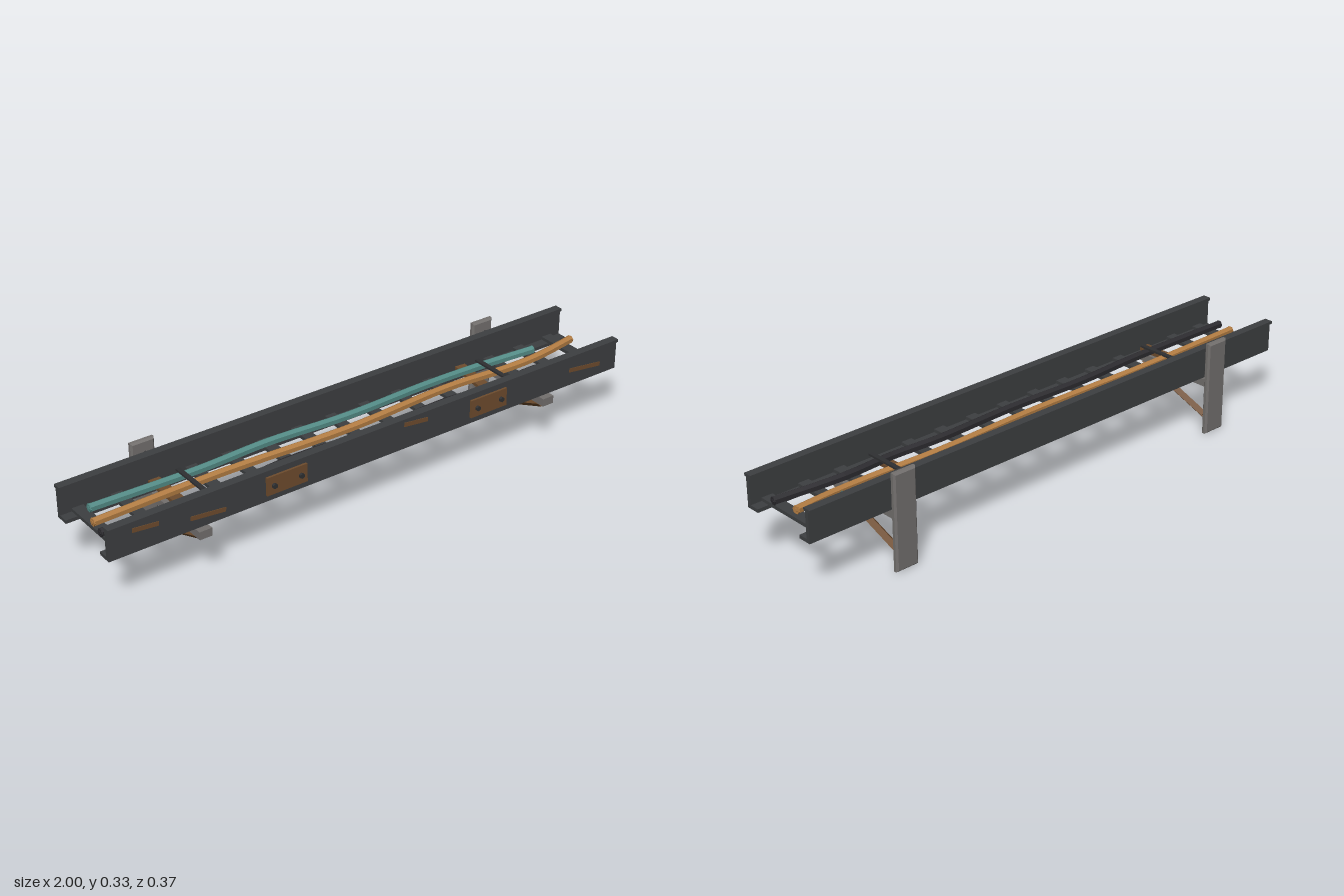
import * as THREE from 'three';

const mat = (name, color, extra = {}) =>
  Object.assign(new THREE.MeshStandardMaterial({ color, flatShading: true, ...extra }), { name });

export function createModel() {
  const model = new THREE.Group();
  model.name = 'cableTray';
  const dark = mat('darkSteel', 0x3d3f41);
  const grey = mat('greySteel', 0x73706e);
  const rust = mat('rust', 0x6e4c2d);
  const teal = mat('tealCable', 0x528a85);
  const copper = mat('copperCable', 0xb27c42);
  const black = mat('blackCable', 0x2c2b2f);
  const bolt = mat('boltSteel', 0x2f3032);

  const add = (name, geo, material, x, y, z, parent = model) => {
    const m = new THREE.Mesh(geo, material);
    m.name = name;
    m.position.set(x, y, z);
    parent.add(m);
    return m;
  };
  const box = (name, material, w, y0, y1, z0, z1, x = 0) =>
    add(name, new THREE.BoxGeometry(w, y1 - y0, z1 - z0), material, x, (y0 + y1) / 2, (z0 + z1) / 2);
  const boltHead = (name, r, depth, x, y, z) => {
    const g = new THREE.CylinderGeometry(r, r, depth, 6);
    g.rotateX(Math.PI / 2);
    return add(name, g, bolt, x, y, z);
  };

  // Side rails: web, top flange and inward bottom flange
  box('frontRailWeb', dark, 2, 0.19, 0.295, 0.149, 0.163);
  box('frontRailTop', dark, 2, 0.293, 0.303, 0.141, 0.171);
  box('frontRailFoot', dark, 2, 0.19, 0.202, 0.114, 0.163);
  box('backRailWeb', dark, 2, 0.19, 0.295, -0.139, -0.125);
  box('backRailTop', dark, 2, 0.293, 0.303, -0.148, -0.118);
  box('backRailFoot', dark, 2, 0.19, 0.202, -0.139, -0.091);

  // Rungs, two of them rusted and one knocked loose
  for (let i = 0; i < 15; i++) {
    const rung = box('rung', i === 2 || i === 11 ? rust : dark, 0.04, 0.201, 0.213,
      i === 11 ? -0.122 : -0.126, i === 11 ? 0.118 : 0.15, -0.94 + i * 0.1343);
    if (i === 11) rung.rotation.set(0.08, -0.07, 0);
  }

  // Wall brackets: bevelled post, arm, diagonal strut and bolts
  const plate = new THREE.Shape();
  const b = 0.006, hw = 0.0425 - b, hh = 0.1665 - b;
  plate.moveTo(-hw, -hh).lineTo(hw, -hh).lineTo(hw, hh).lineTo(-hw, hh).closePath();
  const postGeo = new THREE.ExtrudeGeometry(plate, {
    depth: 0.01, bevelEnabled: true, bevelSize: b, bevelThickness: b, bevelSegments: 1,
  });
  for (const x of [-0.68, 0.678]) {
    add('wallPost', postGeo, grey, x, 0.1665, -0.179);
    box('bracketArm', grey, 0.045, 0.162, 0.19, -0.165, 0.186, x);
    const top = new THREE.Vector3(x, 0.154, 0.15), low = new THREE.Vector3(x, 0.038, -0.156);
    const dir = top.clone().sub(low);
    const strut = add('bracketStrut', new THREE.CylinderGeometry(0.0145, 0.0145, dir.length(), 4),
      rust, x, (top.y + low.y) / 2, (top.z + low.z) / 2);
    strut.quaternion.setFromUnitVectors(new THREE.Vector3(0, 1, 0), dir.normalize());
    boltHead('upperBolt', 0.013, 0.012, x, 0.29, -0.146);
    boltHead('lowerBolt', 0.013, 0.012, x, 0.044, -0.146);
  }

  // Bolted repair plates on the front rail
  for (const x of [-0.372, 0.43]) {
    box('repairPlate', rust, 0.15, 0.213, 0.277, 0.162, 0.171, x);
    for (const s of [-1, 1]) boltHead('plateBolt', 0.009, 0.01, x + s * 0.05, 0.244, 0.175);
  }

  // Rust streaks: x, y, length, tilt
  for (const [x, y, w, tilt] of [[-0.872, 0.264, 0.09, -0.1], [-0.655, 0.226, 0.125, -0.1],
    [0.132, 0.273, 0.095, -0.11], [0.857, 0.239, 0.14, -0.12]]) {
    const streak = add('rustStreak', new THREE.BoxGeometry(w, 0.015, 0.004), rust, x, y, 0.163);
    streak.rotation.z = tilt;
  }

  // Sagging six-sided cables with closed ends, given as x, y, z points
  const cable = (name, material, points) => {
    const group = new THREE.Group();
    group.name = name;
    model.add(group);
    const curve = new THREE.CatmullRomCurve3(points.map((p) => new THREE.Vector3(...p)));
    const r = 0.0145;
    add(name + 'Sheath', new THREE.TubeGeometry(curve, 40, r, 6), material, 0, 0, 0, group);
    for (const t of [0, 1]) {
      const out = curve.getTangent(t).multiplyScalar(t ? 1 : -1), p = curve.getPoint(t);
      for (const [part, size, len] of [['End', r * 0.98, 0.004], ['Core', r * 0.5, 0.008]]) {
        const end = add(name + part, new THREE.CylinderGeometry(size, size, len, 6), material, p.x, p.y, p.z, group);
        end.quaternion.setFromUnitVectors(new THREE.Vector3(0, 1, 0), out);
      }
    }
  };
  cable('tealCable', teal, [[-0.93, 0.232, -0.069], [-0.55, 0.23, -0.063], [-0.28, 0.233, -0.07],
    [0.02, 0.23, -0.059], [0.35, 0.232, -0.067], [0.57, 0.23, -0.066], [0.7, 0.232, -0.055], [0.8, 0.237, -0.04]]);
  cable('copperCable', copper, [[-0.96, 0.232, 0.006], [-0.5, 0.232, -0.003], [-0.02, 0.229, 0.008],
    [0.4, 0.233, -0.009], [0.68, 0.23, 0.003], [0.8, 0.232, 0], [0.955, 0.238, -0.019]]);
  cable('blackCable', black, [[-0.97, 0.232, 0.068], [-0.55, 0.23, 0.075], [-0.27, 0.232, 0.06],
    [0.03, 0.23, 0.071], [0.35, 0.231, 0.06], [0.52, 0.229, 0.072], [0.72, 0.231, 0.062], [0.96, 0.226, 0.089]]);

  // Straps across the cables
  for (const x of [-0.61, 0.585]) box('cableStrap', bolt, 0.016, 0.244, 0.251, -0.08, 0.098, x);

  return model;
}
